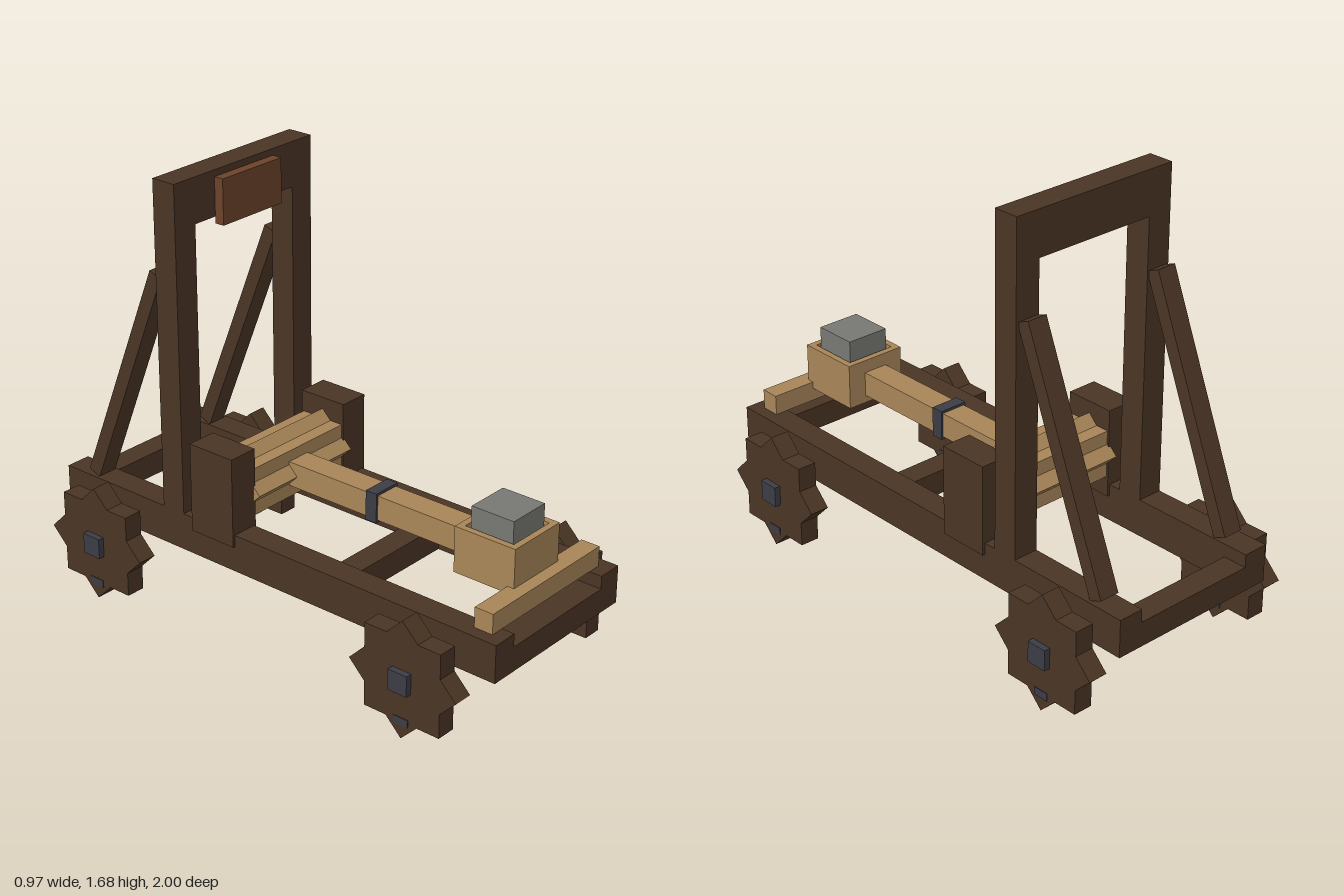
import * as THREE from 'three';

const mat = (name, color) => {
  const m = new THREE.MeshStandardMaterial({ color });
  m.name = name;
  return m;
};

export function createModel() {
  const darkWood = mat('darkWood', 0x4a3524);
  const lightWood = mat('lightWood', 0xa88558);
  const leather = mat('leather', 0x6b432a);
  const stone = mat('stone', 0x777773);
  const iron = mat('iron', 0x3c3c46);
  const model = new THREE.Group();
  model.name = 'catapult';

  const add = (name, geometry, material) => {
    const mesh = new THREE.Mesh(geometry, material);
    mesh.name = name;
    model.add(mesh);
    return mesh;
  };
  // box from its limits on each axis
  const box = (name, material, [x0, x1], [y0, y1], [z0, z1]) => {
    const mesh = add(name, new THREE.BoxGeometry(x1 - x0, y1 - y0, z1 - z0), material);
    mesh.position.set((x0 + x1) / 2, (y0 + y1) / 2, (z0 + z1) / 2);
    return mesh;
  };
  // the same box on both sides
  const pair = (name, material, [x0, x1], y, z) => {
    box(name + 'Left', material, [x0, x1], y, z);
    box(name + 'Right', material, [-x1, -x0], y, z);
  };
  // eight-pointed prism along x, the outline of two crossed squares
  const starPrism = (half, length) => {
    const points = [];
    for (let i = 0; i < 16; i++) {
      const a = (i * Math.PI) / 8 + Math.PI / 4;
      const r = i % 2 ? half / Math.cos(Math.PI / 8) : half * Math.SQRT2;
      points.push(new THREE.Vector2(r * Math.cos(a), r * Math.sin(a)));
    }
    const g = new THREE.ExtrudeGeometry(new THREE.Shape(points), { depth: length, bevelEnabled: false });
    return g.translate(0, 0, -length / 2).rotateY(Math.PI / 2);
  };

  // base frame
  pair('rail', darkWood, [0.25, 0.35], [0.285, 0.43], [-1, 1]);
  for (const [name, z0, z1] of [['front', 0.9, 1], ['middle', 0.2, 0.295], ['back', -1, -0.905]]) {
    box(name + 'CrossBeam', darkWood, [-0.25, 0.25], [0.285, 0.38], [z0, z1]);
  }
  box('frontRest', lightWood, [-0.303, 0.303], [0.43, 0.507], [0.875, 0.95]);

  // upright gantry with padded stop
  pair('post', darkWood, [0.25, 0.35], [0.43, 1.68], [-0.5, -0.4]);
  box('topBeam', darkWood, [-0.25, 0.25], [1.51, 1.68], [-0.5, -0.4]);
  box('stopPad', leather, [-0.15, 0.15], [1.485, 1.655], [-0.4, -0.362]);

  // sloping braces behind the posts
  const top = new THREE.Vector2(-0.517, 1.32), foot = new THREE.Vector2(-0.872, 0.438);
  const run = top.clone().sub(foot);
  for (const side of [1, -1]) {
    const brace = add(side > 0 ? 'braceLeft' : 'braceRight',
      new THREE.BoxGeometry(0.08, run.length(), 0.055), darkWood);
    brace.position.set(side * 0.297, (top.y + foot.y) / 2, (top.x + foot.x) / 2);
    brace.rotation.x = Math.atan2(run.x, run.y);
  }

  // torsion bundle between its side blocks
  pair('bundleBlock', darkWood, [0.24, 0.36], [0.385, 0.73], [-0.35, -0.15]);
  add('torsionBundle', starPrism(0.092, 0.5), lightWood).position.set(0, 0.555, -0.25);

  // throwing arm, open bucket and stone
  box('throwingArm', lightWood, [-0.05, 0.05], [0.51, 0.605], [-0.25, 0.66]);
  box('armBand', iron, [-0.058, 0.058], [0.5, 0.615], [0.207, 0.255]);
  box('bucketFloor', lightWood, [-0.1, 0.1], [0.48, 0.555], [0.675, 0.877]);
  pair('bucketSide', lightWood, [0.1, 0.125], [0.48, 0.655], [0.65, 0.902]);
  box('bucketBack', lightWood, [-0.1, 0.1], [0.48, 0.655], [0.65, 0.675]);
  box('bucketFront', lightWood, [-0.1, 0.1], [0.48, 0.655], [0.877, 0.902]);
  box('stoneBlock', stone, [-0.087, 0.087], [0.555, 0.73], [0.69, 0.865]);

  // star-shaped wheels with square hubs and rim pins
  for (const [end, z] of [['front', 0.7], ['back', -0.75]]) {
    for (const side of [1, -1]) {
      const label = end + (side > 0 ? 'Left' : 'Right');
      const x = side * 0.423;
      add(label + 'Wheel', starPrism(0.161, 0.076), darkWood).position.set(x, 0.23, z);
      box(label + 'Hub', iron, [x - 0.062, x + 0.062], [0.19, 0.27], [z - 0.04, z + 0.04]);
      box(label + 'RimPin', iron, [x - 0.041, x + 0.041], [0.055, 0.085], [z - 0.03, z + 0.03]);
    }
  }
  return model;
}
